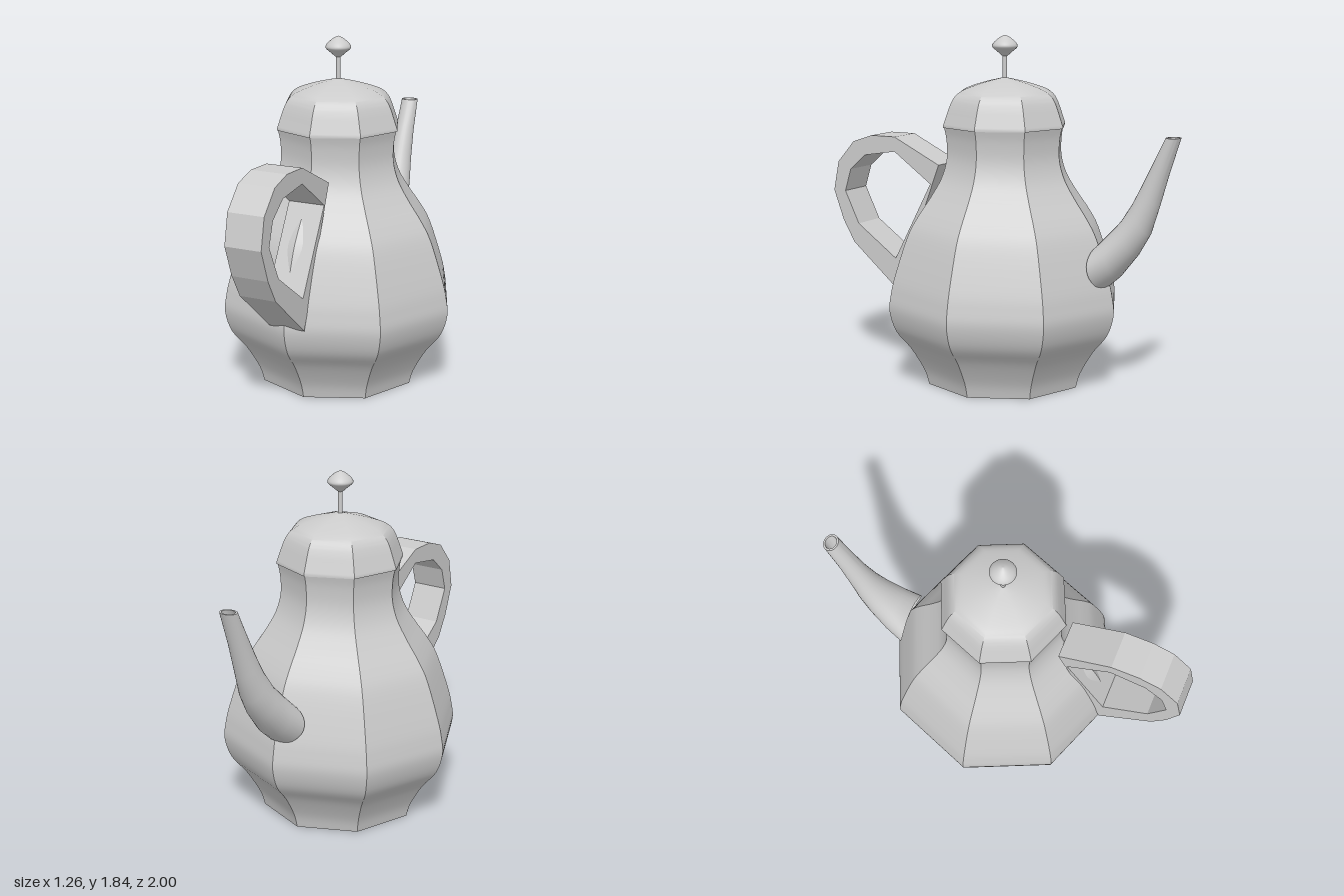
import * as THREE from 'three';
import { toCreasedNormals } from 'three/addons/utils/BufferGeometryUtils.js';

const vectors = (points) => points.map(([x, y]) => new THREE.Vector2(x, y));
const smooth = (points, n) => new THREE.SplineCurve(vectors(points)).getPoints(n);

// Tube skinned over oval sections [upper z, upper y, lower z, lower y, half width]
function skin(sections, centreX, sides = 28) {
  const positions = [];
  const index = [];
  sections.forEach(([uz, uy, lz, ly, w], i) => {
    for (let j = 0; j < sides; j++) {
      const a = (j / sides) * Math.PI * 2;
      const c = Math.cos(a) / 2;
      const bow = i === 0 ? 0.02 * Math.sin(a) ** 2 : 0;
      positions.push(
        centreX + Math.sin(a) * w,
        (uy + ly) / 2 + c * (uy - ly),
        (uz + lz) / 2 + c * (uz - lz) + bow
      );
      if (i < sections.length - 1) {
        const p = i * sides + j;
        const q = i * sides + ((j + 1) % sides);
        index.push(p, q, q + sides, p, q + sides, p + sides);
      }
    }
  });
  const geometry = new THREE.BufferGeometry();
  geometry.setAttribute('position', new THREE.Float32BufferAttribute(positions, 3));
  geometry.setIndex(index);
  return toCreasedNormals(geometry, 0.9);
}

export function createModel() {
  const model = new THREE.Group();
  const metal = new THREE.MeshStandardMaterial({ color: 0xcccccc });
  metal.name = 'grey metal';
  metal.side = THREE.DoubleSide;

  const add = (name, geometry, parent = model) => {
    const mesh = new THREE.Mesh(geometry, metal);
    mesh.name = name;
    parent.add(mesh);
    return mesh;
  };

  // Pot, lid and knob share an axis that is turned very slightly
  const vessel = new THREE.Group();
  vessel.name = 'vessel';
  vessel.position.z = -0.016;
  vessel.rotation.y = 0.03;
  model.add(vessel);

  // Eight-sided body with sharp edges between the panels
  const bodyProfile = smooth([
    [0.42, 0], [0.445, 0.08], [0.515, 0.2], [0.595, 0.3], [0.63, 0.41], [0.622, 0.5],
    [0.598, 0.6], [0.53, 0.8], [0.475, 0.9], [0.405, 1.0], [0.345, 1.1],
    [0.316, 1.2], [0.317, 1.3], [0.33, 1.365],
  ], 52);
  add('body', toCreasedNormals(
    new THREE.LatheGeometry([new THREE.Vector2(0, 0), ...bodyProfile], 8), 0.5), vessel);

  // Eight-sided domed lid with a small lip
  const lidProfile = smooth([
    [0.335, 1.372], [0.318, 1.42], [0.3, 1.47], [0.28, 1.51], [0.25, 1.54],
    [0.205, 1.562], [0.11, 1.592], [0, 1.617],
  ], 28);
  add('lid', toCreasedNormals(
    new THREE.LatheGeometry([...vectors([[0.31, 1.362], [0.335, 1.362]]), ...lidProfile], 8), 0.5), vessel);

  // Knob on a thin stem
  const stem = add('knobStem', new THREE.CylinderGeometry(0.012, 0.012, 0.14, 16), vessel);
  stem.position.y = 1.665;
  add('knob', new THREE.LatheGeometry(smooth([
    [0, 1.722], [0.015, 1.728], [0.038, 1.748], [0.062, 1.768], [0.066, 1.782],
    [0.053, 1.801], [0.024, 1.824], [0, 1.835],
  ], 24), 28), vessel);

  // Faceted loop handle, drawn in z and y and extruded across x
  const loop = new THREE.Shape(vectors([
    [0.32, 1.145], [0.598, 1.28], [0.748, 1.28], [0.866, 1.24], [0.968, 1.123],
    [1.0, 0.963], [0.94, 0.8], [0.87, 0.68], [0.587, 0.44],
  ]));
  loop.holes.push(new THREE.Path(vectors([
    [0.373, 1.04], [0.598, 1.2], [0.79, 1.17], [0.887, 1.086],
    [0.925, 0.963], [0.839, 0.786], [0.598, 0.614],
  ])));
  const handle = new THREE.ExtrudeGeometry(loop, { depth: 0.2, bevelEnabled: false });
  handle.rotateY(-Math.PI / 2);
  handle.translate(0.12, 0, 0);
  add('handle', handle);

  // Curved tapering spout, turning in at the rim to a hollow mouth
  add('spout', skin([
    [-0.555, 0.77, -0.6, 0.55, 0.14],
    [-0.62, 0.84, -0.675, 0.615, 0.12],
    [-0.69, 0.915, -0.775, 0.74, 0.097],
    [-0.75, 1.01, -0.84, 0.85, 0.077],
    [-0.796, 1.1, -0.887, 0.995, 0.062],
    [-0.85, 1.21, -0.935, 1.16, 0.052],
    [-0.92, 1.35, -0.995, 1.35, 0.047],
    [-0.929, 1.35, -0.986, 1.35, 0.036],
    [-0.862, 1.21, -0.923, 1.17, 0.036],
    [-0.812, 1.1, -0.87, 1.02, 0.036],
  ], -0.017));

  return model;
}
